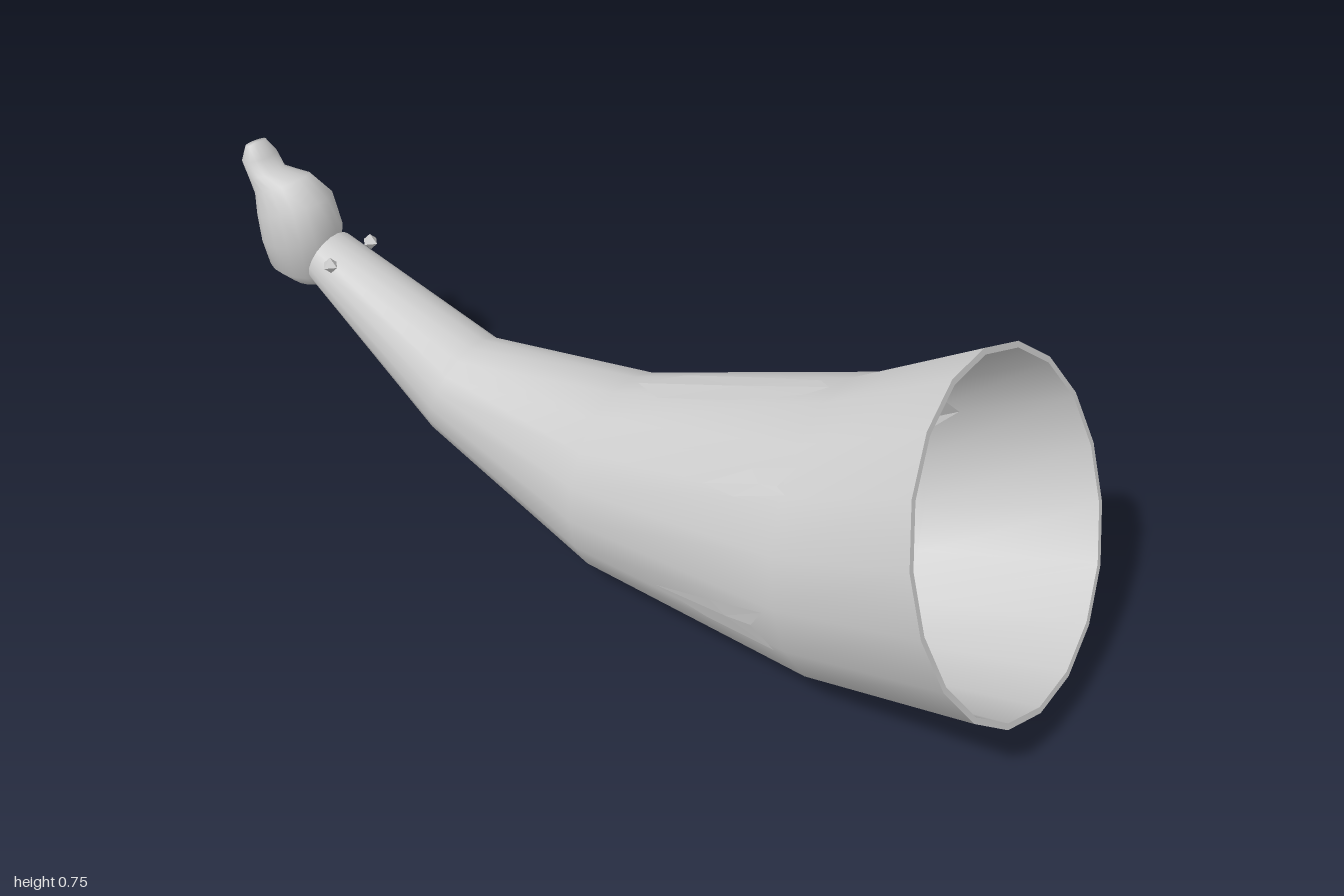
import * as THREE from 'three';

const SIDES = 18;
const FLAT = Math.cos(Math.PI / SIDES);
const grey = new THREE.MeshStandardMaterial({ color: 0xcccccc });
const thin = new THREE.MeshStandardMaterial({ color: 0xcccccc, side: THREE.DoubleSide, flatShading: true });

// Cross-sections: [upper x, upper y, lower x, lower y, half width in z]
const HORN = [
  [-0.76, 0.515, -0.80, 0.40, 0.065],
  [-0.37, 0.38, -0.44, 0.155, 0.117],
  [0.01, 0.425, 0.04, 0.008, 0.205],
  [0.49, 0.60, 0.61, 0.018, 0.295],
  [0.74, 0.755, 0.99, 0.12, 0.347],
];
const KNOB = [
  [-0.90, 0.395, -0.81, 0.38, 0.04],
  [-0.94, 0.42, -0.778, 0.415, 0.07],
  [-0.948, 0.475, -0.765, 0.51, 0.086],
  [-0.957, 0.53, -0.785, 0.59, 0.08],
  [-0.967, 0.57, -0.84, 0.63, 0.058],
  [-0.985, 0.60, -0.91, 0.628, 0.042],
  [-0.998, 0.64, -0.932, 0.655, 0.043],
  [-0.99, 0.672, -0.955, 0.683, 0.026],
];

// Point on one elliptical cross-section
function ringPoint([ax, ay, bx, by, w], angle, scale = 1) {
  const c = Math.cos(angle) * 0.5 * scale / FLAT;
  return [(ax + bx) / 2 + (ax - bx) * c, (ay + by) / 2 + (ay - by) * c, w * scale * Math.sin(angle)];
}

// Point on the horn wall at station s (0 = tip, 4 = mouth)
function hornPoint(s, angle, scale) {
  const i = Math.min(Math.floor(s), HORN.length - 2);
  const ring = HORN[i].map((v, k) => v + (HORN[i + 1][k] - v) * (s - i));
  return ringPoint(ring, angle, scale);
}

function makeMesh(name, points, index, material) {
  const geometry = new THREE.BufferGeometry();
  geometry.setAttribute('position', new THREE.Float32BufferAttribute(points.flat(), 3));
  geometry.setIndex(index);
  geometry.computeVertexNormals();
  const mesh = new THREE.Mesh(geometry, material);
  mesh.name = name;
  return mesh;
}

// Skin a row of cross-sections, optionally closing its ends
function loft(name, rings, capStart = false, capEnd = false) {
  const points = [], index = [];
  for (const ring of rings) {
    for (let j = 0; j < SIDES; j++) points.push(ringPoint(ring, (j + 0.5) / SIDES * Math.PI * 2));
  }
  for (let i = 0; i < rings.length - 1; i++) {
    for (let j = 0; j < SIDES; j++) {
      const a = i * SIDES + j, b = i * SIDES + (j + 1) % SIDES;
      index.push(a, b, a + SIDES, b, b + SIDES, a + SIDES);
    }
  }
  const cap = (i, flip) => {
    const [ax, ay, bx, by] = rings[i];
    const centre = points.push([(ax + bx) / 2, (ay + by) / 2, 0]) - 1;
    for (let j = 0; j < SIDES; j++) {
      const a = i * SIDES + j, b = i * SIDES + (j + 1) % SIDES;
      index.push(centre, flip ? b : a, flip ? a : b);
    }
  };
  if (capStart) cap(0, true);
  if (capEnd) cap(rings.length - 1, false);
  return makeMesh(name, points, index, grey);
}

// Thin jagged flake from [station, angle, scale] corners, fanned from its middle
function flake(name, corners, mirror = 1) {
  const n = corners.length;
  const middle = [0, 1, 2].map(k => corners.reduce((sum, c) => sum + c[k], 0) / n);
  const points = [middle, ...corners].map(([s, a, k]) => hornPoint(s, a * mirror, k));
  const index = [];
  for (let i = 0; i < n; i++) index.push(0, 1 + i, 1 + (i + 1) % n);
  return makeMesh(name, points, index, thin);
}

// Cross-section shrunk about its centre for the wall thickness
function shrink([ax, ay, bx, by, w], k) {
  const cx = (ax + bx) / 2, cy = (ay + by) / 2;
  return [cx + (ax - cx) * k, cy + (ay - cy) * k, cx + (bx - cx) * k, cy + (by - cy) * k, w * k];
}

export function createModel() {
  const group = new THREE.Group();
  group.name = 'horn';

  // Hollow body: outer skin, rim and inner wall
  const inner = HORN.slice(1).map(r => shrink(r, 0.965));
  group.add(loft('hornBody', HORN, true));
  group.add(loft('mouthRim', [HORN[4], inner[3]]));
  group.add(loft('innerWall', inner.slice().reverse(), false, true));

  // Knob at the narrow end
  group.add(loft('endKnob', KNOB, true, true));

  // Small studs beside the knob
  for (const side of [-1, 1]) {
    const stud = new THREE.Mesh(new THREE.OctahedronGeometry(0.019), thin);
    stud.name = 'stud';
    stud.position.set(-0.715, 0.485, side * 0.064);
    group.add(stud);
  }

  // Worn flakes on the outside
  const k = 1.008;
  group.add(flake('topFlake', [[2.08, 0, k], [2.25, 0.22, k], [2.6, 0.2, k], [2.9, 0.1, k],
    [2.97, 0, k], [2.9, -0.1, k], [2.6, -0.15, k], [2.25, -0.2, k]]));
  for (const side of [-1, 1]) {
    group.add(flake('upperFlake', [[2.65, 0.88, k], [2.85, 0.72, k], [3.08, 0.68, k],
      [2.98, 0.8, k], [3.05, 0.85, k], [2.8, 0.92, k]], side));
    group.add(flake('lowerFlake', [[2.42, 1.86, k], [2.7, 1.72, k], [2.95, 1.62, k],
      [2.88, 1.78, k], [2.95, 1.95, k], [2.65, 1.96, k]], side));
    // Splinters along the inner wall
    group.add(flake('upperSplinter', [[3.2, 0.85, 0.94], [3.3, 1.2, 0.94],
      [2.6, 2.0, 0.93], [2.3, 1.2, 0.8]], side));
    group.add(flake('lowerSplinter', [[3.0, 2.5, 0.93], [2.8, 2.75, 0.93], [2.1, 2.4, 0.8]], side));
  }
  group.add(flake('bottomFlake', [[3.0, 2.8, k], [3.55, 2.75, k], [3.6, 2.92, k], [3.3, 2.98, k], [3.02, 3.05, k]]));

  return group;
}
